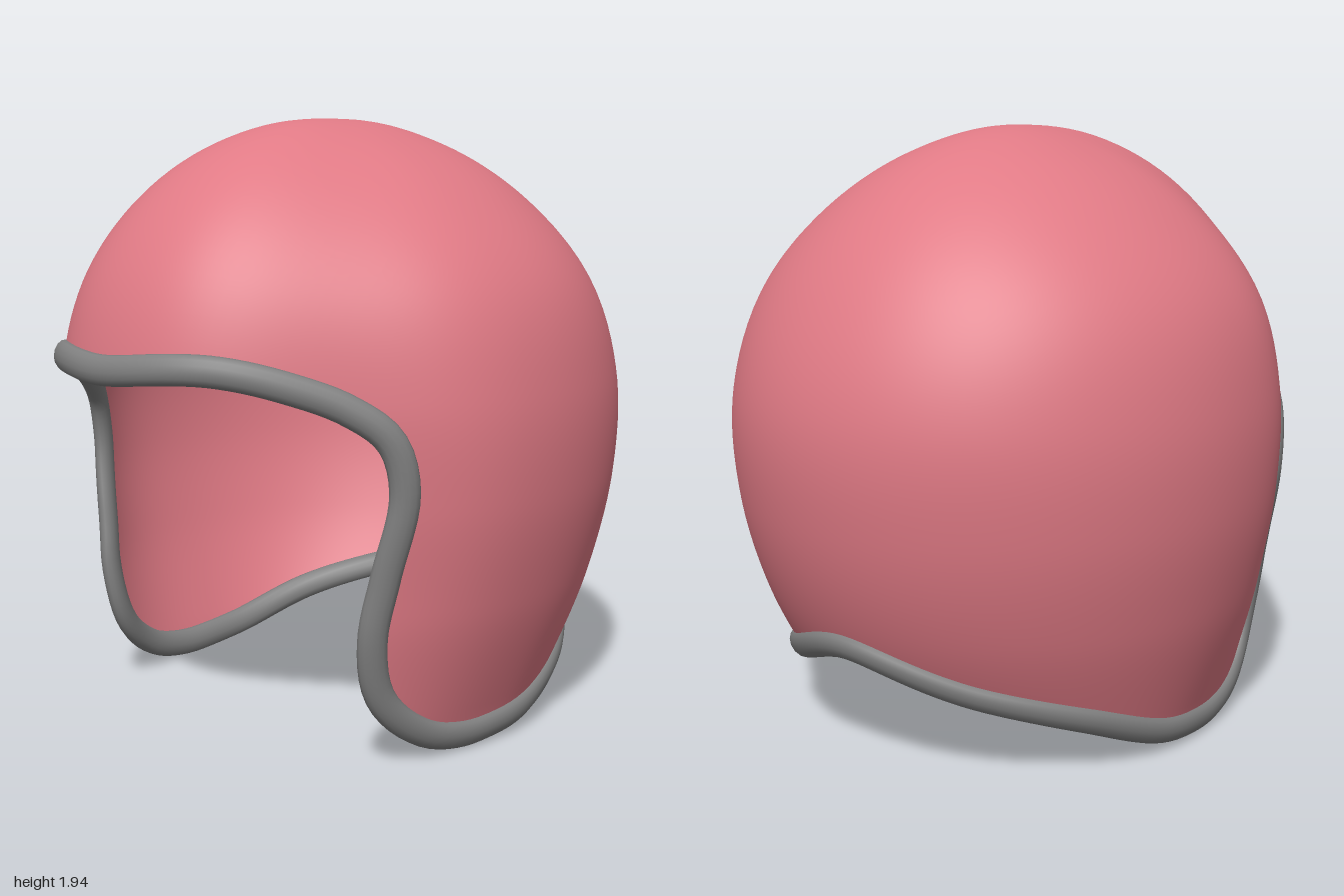
import * as THREE from 'three';
import { mergeVertices } from 'three/addons/utils/BufferGeometryUtils.js';

const CENTER = new THREE.Vector3(0.03, 0.95, 0);
const POLE = new THREE.Vector3(0.6, 0.8, 0); // crown point opposite the opening
const COLS = 200;

// Radii of the three profiles, from straight up (90) down to -70 degrees in steps of 20
const FRONT = [0.995, 1.02, 1.045, 1.048, 1.02, 1.0, 1.1, 1.45, 2.4];
const BACK = [0.995, 0.988, 0.98, 0.978, 0.978, 0.965, 0.985, 1.04, 1.15];
const SIDE = [0.995, 0.955, 0.932, 0.928, 0.9, 0.9, 0.955, 1.1, 1.4];

// Half of the rim seen from the side (x, y), from brow round the cheek to the nape
const RIM = [
  [-1.1, 1.22], [-0.84, 1.2], [-0.7, 1.155], [-0.57, 1.09], [-0.48, 1.0], [-0.445, 0.85],
  [-0.47, 0.6], [-0.485, 0.4], [-0.44, 0.22], [-0.3, 0.09], [-0.13, 0.046],
  [0.12, 0.065], [0.43, 0.175], [0.68, 0.27], [0.95, 0.335],
];

// Smooth lookup in a profile table
function sample(table, elevation) {
  const f = Math.min((90 - elevation) / 20, 7.999);
  const i = Math.floor(f), t = f - i;
  const [a, b, c, d] = [Math.abs(i - 1), i, i + 1, Math.min(i + 2, 8)].map((k) => table[k]);
  return b + 0.5 * t * (c - a + t * (2 * a - 5 * b + 4 * c - d + t * (3 * (b - c) + d - a)));
}

// Distance from the centre to the shell along a unit direction
function radius(d) {
  const flat = Math.hypot(d.x, d.z);
  if (flat < 1e-6) return FRONT[0];
  const elevation = THREE.MathUtils.radToDeg(Math.atan2(d.y, flat));
  const c = d.x / flat, s = d.z / flat;
  // the forehead is a little more pointed than an ellipse
  const p = c < 0 ? 2 - 1.6 * c * c * s * s * flat * flat : 2;
  const rx = sample(c < 0 ? FRONT : BACK, elevation);
  const rz = sample(SIDE, elevation);
  return Math.pow(Math.pow(Math.abs(c) / rx, p) + Math.pow(Math.abs(s) / rz, p), -1 / p);
}

const onShell = (d) => d.clone().multiplyScalar(radius(d)).add(CENTER);

// Find the z at which a side-view point meets the shell
function rimPoint([x, y]) {
  let lo = 0, hi = 1.3;
  for (let i = 0; i < 30; i++) {
    const z = (lo + hi) / 2;
    const v = new THREE.Vector3(x, y, z).sub(CENTER);
    if (v.length() < radius(v.clone().normalize())) lo = z; else hi = z;
  }
  return new THREE.Vector3(x, y, lo);
}

// Unit directions along the whole closed rim
function rimDirections() {
  const half = RIM.map(rimPoint);
  const mirrored = half.slice(1, -1).reverse().map((p) => new THREE.Vector3(p.x, p.y, -p.z));
  const curve = new THREE.CatmullRomCurve3([...half, ...mirrored], true);
  return curve.getSpacedPoints(COLS).slice(0, COLS).map((p) => p.sub(CENTER).normalize());
}

// Point on the arc from the pole (t = 0) to a rim direction (t = 1)
function arcPoint(d, t) {
  const angle = POLE.angleTo(d);
  const dir = POLE.clone().multiplyScalar(Math.sin((1 - t) * angle))
    .addScaledVector(d, Math.sin(t * angle)).normalize();
  return onShell(dir);
}

// Skin between rows of points; every row is a closed loop
function skin(rows, closeRows) {
  const n = rows[0].length, index = [];
  const last = closeRows ? rows.length : rows.length - 1;
  for (let i = 0; i < last; i++) {
    for (let j = 0; j < n; j++) {
      const i2 = (i + 1) % rows.length, j2 = (j + 1) % n;
      const a = i * n + j, b = i2 * n + j, c = i2 * n + j2, d = i * n + j2;
      index.push(b, c, d);
      if (closeRows || i > 0) index.push(a, b, d);
    }
  }
  let geo = new THREE.BufferGeometry().setFromPoints(rows.flat());
  geo.setIndex(index);
  geo = mergeVertices(geo, 1e-5);
  geo.computeVertexNormals();
  return geo;
}

export function createModel() {
  const group = new THREE.Group();
  group.name = 'openFaceHelmet';
  const rim = rimDirections();

  // Shell: arcs fanned from the crown to the rim
  const shellRows = [];
  for (let i = 0; i <= 48; i++) shellRows.push(rim.map((d) => arcPoint(d, i / 48)));
  const shell = new THREE.Mesh(
    skin(shellRows, false),
    new THREE.MeshStandardMaterial({ color: 0xe07a85, side: THREE.DoubleSide }),
  );
  shell.name = 'shell';

  // Edge trim: oval section lying along the shell surface
  const edge = rim.map(onShell);
  const frames = edge.map((p, j) => {
    const tangent = edge[(j + 1) % COLS].clone().sub(edge[(j + COLS - 1) % COLS]).normalize();
    const inward = arcPoint(rim[j], 0.97).sub(p);
    inward.addScaledVector(tangent, -inward.dot(tangent)).normalize();
    return { p, inward, out: tangent.clone().cross(inward).normalize() };
  });
  const trimRows = [];
  for (let k = 0; k < 14; k++) {
    const a = (k / 14) * Math.PI * 2;
    trimRows.push(frames.map(({ p, inward, out }) => p.clone()
      .addScaledVector(inward, 0.046 * Math.cos(a))
      .addScaledVector(out, -0.032 * Math.sin(a))));
  }
  // the section runs outward-first so that its faces point away from the core
  for (const { p, inward, out } of frames.slice(0, 1)) {
    if (out.dot(p.clone().sub(CENTER)) > 0) trimRows.reverse();
  }
  const trim = new THREE.Mesh(
    skin(trimRows, true),
    new THREE.MeshStandardMaterial({ color: 0x808080 }),
  );
  trim.name = 'edgeTrim';

  group.add(shell, trim);
  group.rotation.y = 0.11; // the helmet is turned slightly
  return group;
}
